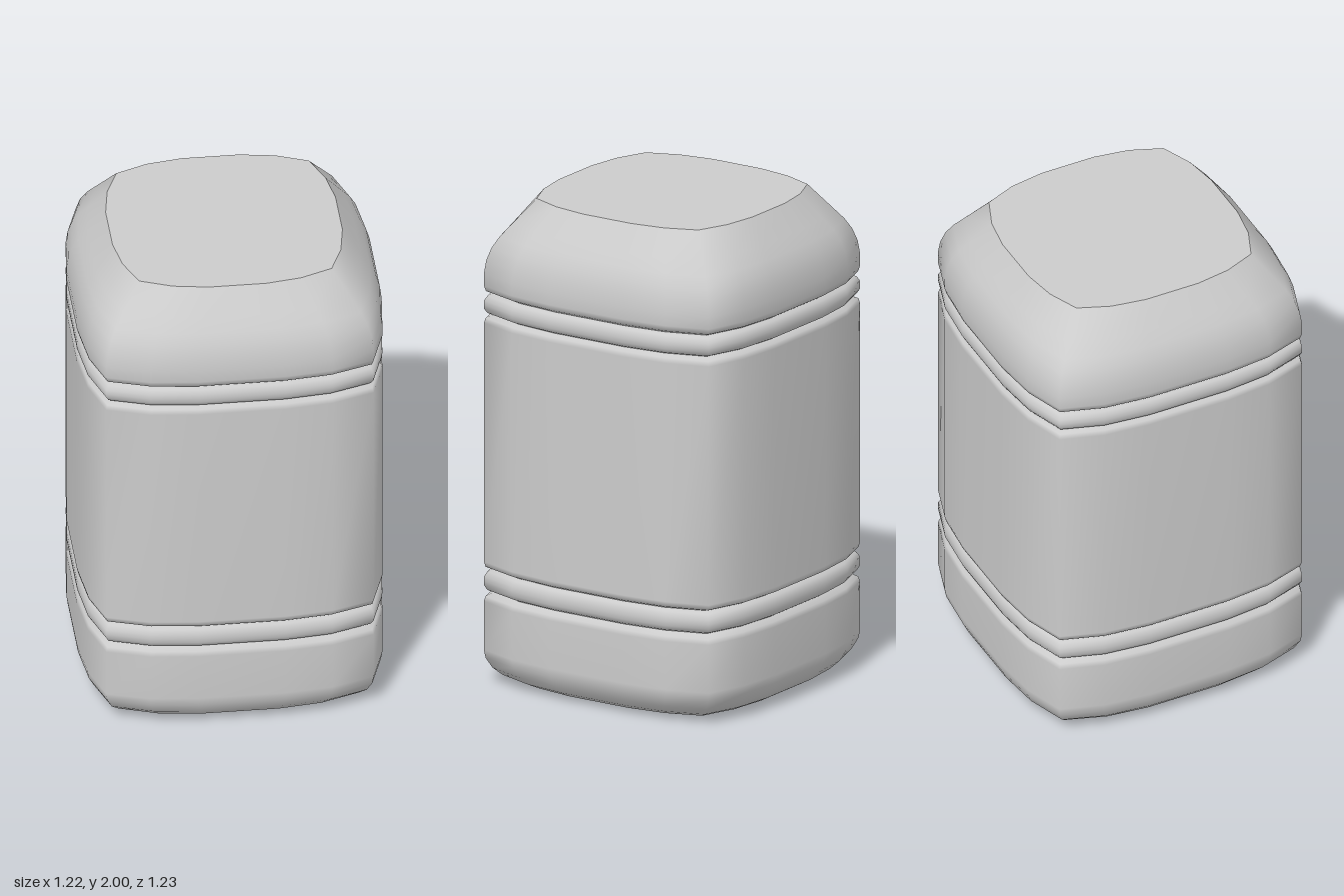
import * as THREE from 'three';

// One side of the rounded-square outline (x, z), at full width and at the narrow neck
const WIDE = [[0.535, -0.535], [0.59, -0.365], [0.61, -0.175], [0.61, 0.175], [0.59, 0.365]];
const NARROW = [[0.385, -0.385], [0.437, -0.257], [0.46, -0.115], [0.46, 0.115], [0.437, 0.257]];
const R_WIDE = 0.61, R_NARROW = 0.46;

// Outline of half-width r, one side turned four times
function outline(r) {
  const u = Math.max(0, Math.min(1, (R_WIDE - r) / (R_WIDE - R_NARROW)));
  const scale = r < R_NARROW ? r / R_NARROW : 1;
  const pts = [];
  for (let side = 0; side < 4; side++) {
    WIDE.forEach((w, i) => {
      let x = THREE.MathUtils.lerp(w[0], NARROW[i][0], u) * scale;
      let z = THREE.MathUtils.lerp(w[1], NARROW[i][1], u) * scale;
      for (let k = 0; k < side; k++) [x, z] = [-z, x];
      pts.push([x, z * 1.01]);
    });
  }
  return pts;
}

// Smooth skin through rings given as [half-width, height]
function loft(profile) {
  const pos = [], index = [], n = 20;
  for (const [r, y] of profile) for (const [x, z] of outline(r)) pos.push(x, y, z);
  for (let i = 0; i < profile.length - 1; i++) {
    for (let j = 0; j < n; j++) {
      const a = i * n + j, b = i * n + (j + 1) % n;
      if (profile[i][0] > 0) index.push(a, a + n, b);
      if (profile[i + 1][0] > 0) index.push(b, a + n, b + n);
    }
  }
  const g = new THREE.BufferGeometry();
  g.setAttribute('position', new THREE.Float32BufferAttribute(pos, 3));
  g.setIndex(index);
  g.computeVertexNormals();
  return g;
}

// Half-round bead between two grooves
function bead(y0, y1) {
  const h = y1 - y0;
  return [[0.583, y0], [0.6, y0 + h * 0.1], [0.609, y0 + h * 0.3], [0.61, y0 + h * 0.5],
    [0.609, y0 + h * 0.7], [0.6, y0 + h * 0.9], [0.583, y1]];
}

export function createModel() {
  const group = new THREE.Group();
  const material = new THREE.MeshStandardMaterial({ color: 0xcccccc });
  const add = (name, profile) => {
    const mesh = new THREE.Mesh(loft(profile), material);
    mesh.name = name;
    group.add(mesh);
  };

  // Base with a shallow dished underside
  add('base', [[0, 0.02], [0.06, 0.018], [0.47, 0], [0.515, 0.008], [0.555, 0.03], [0.585, 0.062],
    [0.605, 0.105], [0.61, 0.14], [0.61, 0.34], [0.605, 0.36], [0.583, 0.377]]);
  add('lowerBead', bead(0.377, 0.472));
  add('body', [[0.583, 0.472], [0.605, 0.483], [0.61, 0.505], [0.61, 1.495], [0.605, 1.515], [0.583, 1.527]]);
  add('upperBead', bead(1.527, 1.615));
  // Shoulder sloping in to the flat top
  add('shoulder', [[0.583, 1.615], [0.604, 1.627], [0.61, 1.65], [0.61, 1.7], [0.603, 1.755],
    [0.588, 1.805], [0.565, 1.85], [0.53, 1.9], [0.46, 2]]);
  add('top', [[0.46, 2], [0, 2]]);
  return group;
}
